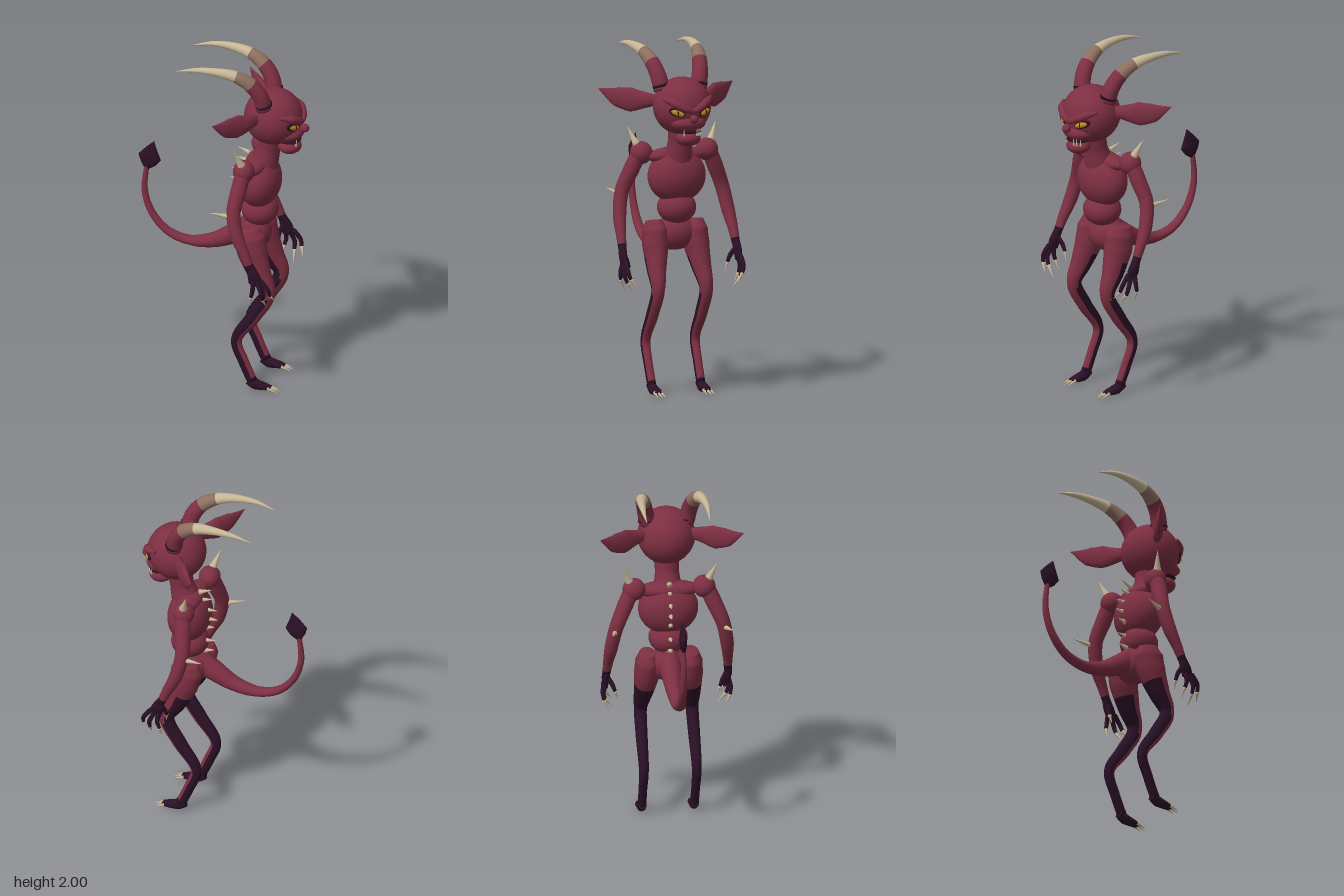
import * as THREE from 'three';

const mat = (name, color) => Object.assign(new THREE.MeshStandardMaterial({ color }), { name });

export function createModel() {
  const skin = mat('skin red', 0x7d2f42);
  const dark = mat('dark hide', 0x2a1026);
  const horn = mat('pale horn', 0xc6b696);
  const hornMid = mat('brown horn', 0x8c6f60);
  const amber = mat('amber eye', 0xc08a18);
  const model = new THREE.Group();
  model.name = 'hornedImp';
  const V = (a) => new THREE.Vector3(a[0], a[1], a[2]);

  // Swept body: each row is [x, y, z, radius along ref, radius across it].
  // pick(point, cos, sin) chooses a material index for each face.
  function loft(name, rows, mats, { ref = [0, 0, 1], sides = 16, steps = 6, pick = () => 0, parent = model } = {}) {
    const list = [].concat(mats);
    const curve = new THREE.CatmullRomCurve3(rows.map(V));
    const n = (rows.length - 1) * steps, pos = [], info = [];
    const faces = list.map(() => []);
    for (let i = 0; i <= n; i++) {
      const t = i / n, f = t * (rows.length - 1);
      const k = Math.min(Math.floor(f), rows.length - 2), w = f - k;
      const rad = (c) => THREE.MathUtils.lerp(rows[k][c] ?? rows[k][3], rows[k + 1][c] ?? rows[k + 1][3], w);
      const p = curve.getPoint(t), d = curve.getTangent(t), u = V(ref);
      u.addScaledVector(d, -u.dot(d)).normalize();
      const v = d.clone().cross(u);
      for (let j = 0; j < sides; j++) {
        const a = j / sides * Math.PI * 2;
        const q = p.clone().addScaledVector(u, Math.cos(a) * rad(3)).addScaledVector(v, Math.sin(a) * rad(4));
        pos.push(q.x, q.y, q.z);
      }
      info.push(p);
    }
    const first = pos.length / 3;
    pos.push(...info[0].toArray(), ...info[n].toArray());
    for (let i = 0; i < n; i++) for (let j = 0; j < sides; j++) {
      const a = (j + 0.5) / sides * Math.PI * 2, b = (j + 1) % sides;
      const out = faces[pick(info[i], Math.cos(a), Math.sin(a))];
      const p = i * sides + j, q = i * sides + b;
      out.push(p, q, q + sides, p, q + sides, p + sides);
      if (i === 0) out.push(first, q, p);
      if (i === n - 1) out.push(first + 1, p + sides, q + sides);
    }
    const g = new THREE.BufferGeometry();
    g.setAttribute('position', new THREE.Float32BufferAttribute(pos, 3));
    g.setIndex(faces.flat());
    let start = 0;
    faces.forEach((f, m) => { g.addGroup(start, f.length, m); start += f.length; });
    g.computeVertexNormals();
    const mesh = new THREE.Mesh(g, list);
    mesh.name = name;
    parent.add(mesh);
    return mesh;
  }

  function ball(name, p, r, material, rot = [0, 0, 0]) {
    const mesh = new THREE.Mesh(new THREE.SphereGeometry(1, 32, 20), material);
    mesh.name = name;
    mesh.position.set(...p);
    mesh.scale.set(...r);
    mesh.rotation.set(...rot, 'YXZ');
    model.add(mesh);
  }

  const spike = (name, from, to, r) =>
    loft(name, [[...from, r], [...to, 0.001]], horn, { sides: 10, steps: 3 });

  // Torso and neck
  ball('chest', [0.21, 1.25, 0], [0.122, 0.155, 0.172], skin);
  ball('collar', [0.2, 1.365, 0], [0.07, 0.05, 0.18], skin);
  ball('belly', [0.21, 1.07, 0], [0.107, 0.095, 0.112], skin);
  ball('pelvis', [0.18, 0.92, 0], [0.095, 0.1, 0.125], skin);
  loft('neck', [[0.23, 1.34, 0, 0.085], [0.26, 1.45, 0, 0.068], [0.28, 1.57, 0, 0.075]], skin);

  // Head and face
  ball('head', [0.29, 1.66, 0], [0.168, 0.165, 0.165], skin);
  ball('upperMuzzle', [0.375, 1.575, 0], [0.092, 0.052, 0.105], skin);
  ball('mouth', [0.39, 1.527, 0], [0.062, 0.014, 0.075], dark);
  ball('jaw', [0.385, 1.487, 0], [0.068, 0.046, 0.072], skin);
  ball('nose', [0.473, 1.605, 0], [0.027, 0.025, 0.024], skin);
  for (const z of [-0.062, -0.045, -0.03, 0.045]) {
    const x = 0.455 - z * z * 8;
    spike('tooth', [x - 0.005, 1.505, z], [x, 1.55, z], 0.007);
  }

  // Spines down the back
  const spines = [[0.15, 1.41, 0.08, 1.44], [0.14, 1.36, 0.075, 1.378], [0.11, 1.3, 0.045, 1.305],
    [0.1, 1.24, 0.038, 1.243], [0.11, 1.18, 0.06, 1.19], [0.12, 1.09, 0.055, 1.1], [0.12, 1.02, 0.06, 1.035]];
  for (const [x, y, tx, ty] of spines) spike('backSpine', [x, y, 0], [tx, ty, 0], 0.018);

  // Tail with flat spade tip
  loft('tail', [[0.17, 0.95, 0, 0.07, 0.085], [0.07, 0.9, 0, 0.06, 0.062], [-0.06, 0.838, 0, 0.044],
    [-0.2, 0.818, 0, 0.035, 0.028], [-0.33, 0.86, 0, 0.028, 0.023], [-0.425, 0.965, 0, 0.023, 0.02],
    [-0.467, 1.1, 0, 0.018], [-0.455, 1.26, 0, 0.014]], skin);
  loft('tailSpade', [[-0.457, 1.235, 0, 0.01, 0.012], [-0.447, 1.27, 0, 0.019, 0.046],
    [-0.438, 1.31, 0, 0.021, 0.067], [-0.428, 1.355, 0, 0.015, 0.038], [-0.412, 1.41, 0, 0.001]], dark);

  for (const s of [1, -1]) {
    const side = s > 0 ? 'left' : 'right';

    // Eyes and brows
    ball(side + 'EyeRim', [0.426, 1.642, s * 0.083], [0.016, 0.025, 0.05], dark, [-0.3 * s, -0.52 * s, 0]);
    ball(side + 'Eye', [0.432, 1.64, s * 0.083], [0.016, 0.018, 0.041], amber, [-0.3 * s, -0.52 * s, 0]);
    ball(side + 'Pupil', [0.444, 1.64, s * 0.083], [0.007, 0.014, 0.006], dark, [0, -0.52 * s, 0]);
    loft(side + 'Brow', [[0.37, 1.715, s * 0.145, 0.01], [0.422, 1.695, s * 0.1, 0.024],
      [0.452, 1.665, s * 0.045, 0.022], [0.458, 1.645, 0, 0.014]], skin, { ref: [0, 1, 0] });

    // Leaf-shaped ears
    loft(side + 'Ear', [[0.23, 1.69, s * 0.13, 0.03, 0.022], [0.19, 1.69, s * 0.2, 0.05, 0.028],
      [0.148, 1.69, s * 0.255, 0.07, 0.026], [0.1, 1.705, s * 0.325, 0.055, 0.02],
      [0.04, 1.747, s * 0.41, 0.001]], skin, { ref: [0, 1, 0] });

    // Banded horns sweeping backward
    loft(side + 'Horn', [[0.265, 1.75, s * 0.11, 0.048], [0.245, 1.835, s * 0.128, 0.046],
      [0.195, 1.905, s * 0.145, 0.043], [0.11, 1.955, s * 0.163, 0.034], [0, 1.976, s * 0.178, 0.024],
      [-0.12, 1.976, s * 0.184, 0.014], [-0.235, 1.953, s * 0.18, 0.001]], [skin, hornMid, horn],
    { pick: (p) => (p.x > 0.205 ? 0 : p.x > 0.125 ? 1 : 2) });
    loft(side + 'HornRing', [[0.264, 1.77, s * 0.113, 0.05], [0.261, 1.785, s * 0.116, 0.05]], dark, { steps: 1 });

    // Arm with shoulder and elbow spikes
    ball(side + 'Shoulder', [0.17, 1.385, s * 0.2], [0.062, 0.065, 0.065], skin);
    loft(side + 'Arm', [[0.172, 1.4, s * 0.205, 0.045], [0.155, 1.29, s * 0.255, 0.046],
      [0.138, 1.17, s * 0.305, 0.041], [0.168, 1.03, s * 0.332, 0.038], [0.215, 0.93, s * 0.342, 0.029],
      [0.25, 0.85, s * 0.347, 0.023]], [skin, dark], { pick: (p) => (p.y < 0.88 ? 1 : 0) });
    spike(side + 'ShoulderSpike', [0.165, 1.425, s * 0.222], [0.13, 1.535, s * 0.27], 0.03);
    spike(side + 'ElbowSpike', [0.13, 1.145, s * 0.31], [0.005, 1.17, s * 0.345], 0.022);

    // Hand: palm, curled fingers and claws
    loft(side + 'Palm', [[0.245, 0.865, s * 0.346, 0.023], [0.268, 0.81, s * 0.35, 0.022, 0.036],
      [0.285, 0.765, s * 0.348, 0.014, 0.038]], dark);
    const fingers = [
      [[0.31, 0.785, 0.35], [0.352, 0.73, 0.352], [0.362, 0.69, 0.34], [0.38, 0.645, 0.305]],
      [[0.29, 0.77, 0.352], [0.315, 0.71, 0.36], [0.318, 0.665, 0.345], [0.325, 0.605, 0.295]],
      [[0.265, 0.775, 0.352], [0.265, 0.72, 0.365], [0.255, 0.68, 0.36], [0.248, 0.62, 0.335]],
      [[0.255, 0.82, 0.34], [0.24, 0.78, 0.315], [0.235, 0.74, 0.3], [0.24, 0.69, 0.285]],
    ];
    for (const f of fingers) {
      const [a, b, c, d] = f.map(([x, y, z]) => [x, y, s * z]);
      loft(side + 'Finger', [[...a, 0.014], [...b, 0.013], [...c, 0.01]], dark, { sides: 10 });
      spike(side + 'Claw', c, d, 0.012);
    }

    // Leg: red in front, dark hide down the back
    loft(side + 'Leg', [[0.175, 0.995, s * 0.125, 0.045, 0.06], [0.182, 0.94, s * 0.122, 0.07, 0.093],
      [0.2, 0.85, s * 0.125, 0.073, 0.088], [0.245, 0.73, s * 0.137, 0.055, 0.068],
      [0.295, 0.61, s * 0.147, 0.037, 0.044], [0.215, 0.46, s * 0.15, 0.034, 0.042],
      [0.113, 0.3, s * 0.151, 0.028, 0.031], [0.155, 0.17, s * 0.151, 0.025, 0.031],
      [0.205, 0.055, s * 0.15, 0.025, 0.03]], [skin, dark],
    { pick: (p, c, v) => (p.y < 0.09 || (p.y < 0.8 && v > (p.y > 0.6 ? -0.1 : -0.55)) ? 1 : 0) });

    // Foot and toes
    loft(side + 'Foot', [[0.18, 0.055, s * 0.15, 0.022, 0.025], [0.225, 0.036, s * 0.15, 0.028, 0.032],
      [0.28, 0.027, s * 0.15, 0.03, 0.02], [0.315, 0.022, s * 0.15, 0.025, 0.012]], dark);
    for (const k of [-1, 0, 1]) {
      const z = s * 0.15 + k * 0.019;
      spike(side + 'ToeClaw', [0.3, 0.024, z], [0.368 - Math.abs(k) * 0.012, 0.006, z + k * 0.004], 0.012);
    }
  }
  return model;
}
